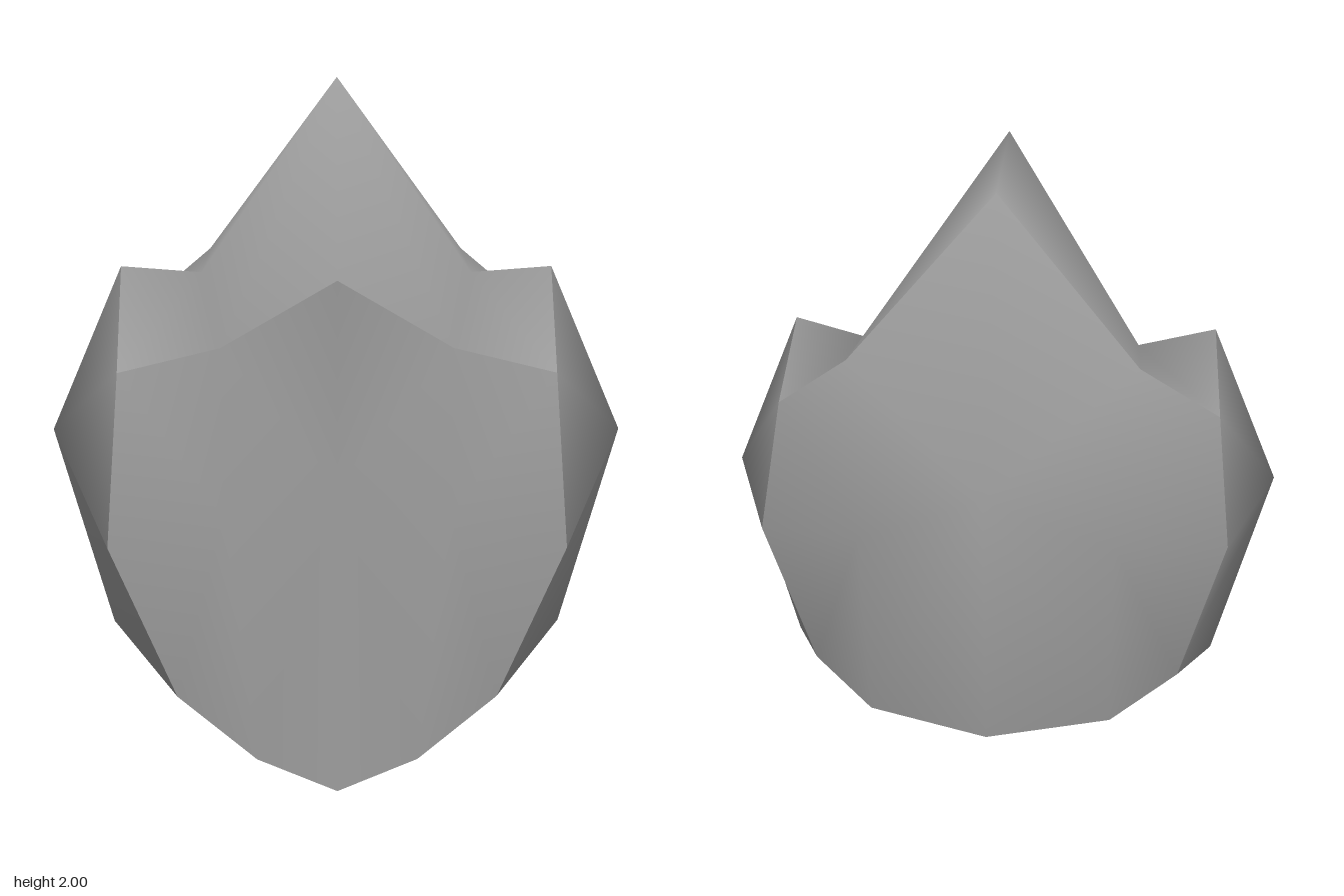
import * as THREE from 'three';

// Rings of the block at x = 0, the half-way column and the outer side.
// Each row (bottom, middle, top) lists points from back to front.
const RINGS = [
  [ // centre line with the high crest
    [[0, 0.46, -0.49], [0, 0, 0.18], [0, 0.10, 0.55]],
    [[0, 1.25, -0.55], null, [0, 0.95, 0.49]],
    [[0, 1.93, -0.13], [0, 2, 0.30], [0, 1.49, 0.505]],
  ],
  [ // valley beside the crest
    [[0.35, 0.46, -0.38], [0.34, 0.11, 0.12], [0.22, 0.18, 0.52]],
    [[0.34, 1.09, -0.485], null, [0.30, 0.87, 0.51]],
    [[0.39, 1.51, -0.27], [0.39, 1.465, 0.03], [0.31, 1.30, 0.395]],
  ],
  [ // bulging side with a raised shoulder
    [[0.55, 0.50, -0.19], [0.67, 0.42, 0.09], [0.44, 0.34, 0.465]],
    [[0.655, 1.0, -0.29], [0.82, 1.02, 0.12], [0.605, 0.79, 0.535]],
    [[0.62, 1.32, -0.13], [0.61, 1.49, 0.11], [0.58, 1.24, 0.435]],
  ],
];

// Split each quad along the diagonal that runs outwards from the middle of its
// side, so that left and right have mirrored triangles.
function splitOutwards(geometry) {
  const pos = geometry.attributes.position;
  const radius = (i) => new THREE.Vector3().fromBufferAttribute(pos, i).length();
  const old = geometry.index.array;
  const faces = [];
  for (let i = 0; i < old.length; i += 6) {
    const [a, b, d, , c] = old.slice(i, i + 6);
    const alongBD = Math.min(radius(b), radius(d)) < Math.min(radius(a), radius(c));
    faces.push(...(alongBD ? [a, b, d, b, c, d] : [a, b, c, a, c, d]));
  }
  geometry.setIndex(faces);
}

export function createModel() {
  const group = new THREE.Group();
  group.name = 'crestedBlock';

  // A subdivided box moved onto the rings, mirrored in x;
  // its six sides stay separate, so each is smooth with sharp borders.
  const geometry = new THREE.BoxGeometry(4, 2, 2, 4, 2, 2);
  splitOutwards(geometry);
  const pos = geometry.attributes.position;
  for (let i = 0; i < pos.count; i++) {
    const gx = Math.round(pos.getX(i));
    const gy = Math.round(pos.getY(i)) + 1;
    const gz = Math.round(pos.getZ(i)) + 1;
    const [x, y, z] = RINGS[Math.abs(gx)][gy][gz];
    pos.setXYZ(i, x * Math.sign(gx), y, z);
  }
  geometry.computeVertexNormals();

  const body = new THREE.Mesh(geometry, new THREE.MeshStandardMaterial({ color: 0x999999 }));
  body.name = 'body';
  group.add(body);
  return group;
}
